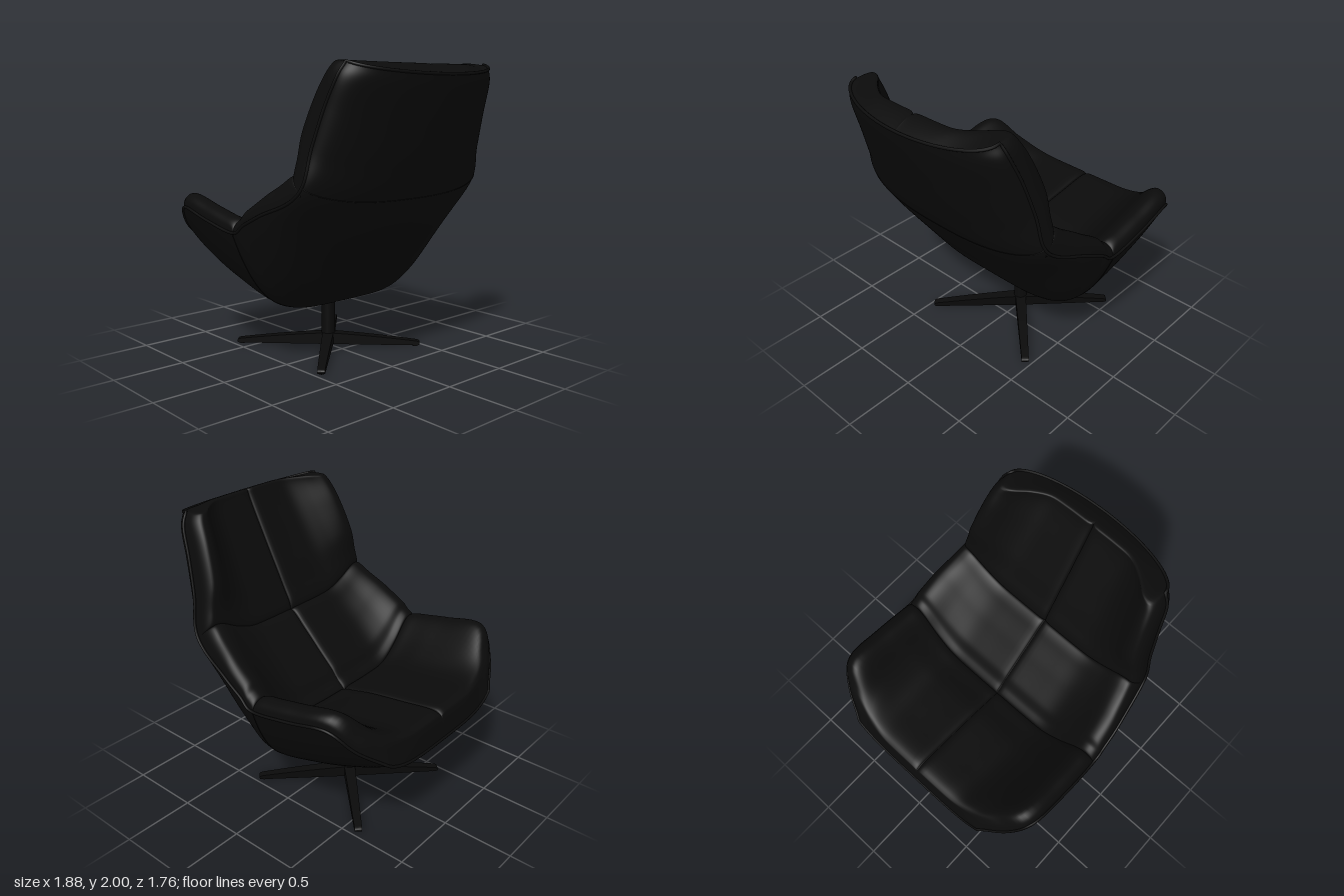
import * as THREE from 'three';

// Stations from the seat front to the top of the back:
// outer centre x,y | rim x,y | half width | inner centre x,y | outer roundness across, upwards | roll depth
const STATIONS = [
  [-0.935, 0.665, -0.90, 0.84, 0.57, -0.925, 0.83, 4.0, 1.1, 0.09],
  [-0.80, 0.60, -0.81, 0.98, 0.745, -0.84, 0.86, 4.4, 1, 0.09],
  [-0.60, 0.52, -0.68, 1.12, 0.85, -0.62, 0.83, 4.5, 1, 0.09],
  [-0.35, 0.435, -0.38, 1.07, 0.87, -0.35, 0.79, 4.5, 1, 0.09],
  [-0.04, 0.355, -0.08, 1.02, 0.868, -0.10, 0.745, 4.5, 1, 0.09],
  [0.12, 0.43, 0.02, 1.09, 0.86, 0.02, 0.855, 4.3, 1.1, 0.10],
  [0.32, 0.68, 0.17, 1.19, 0.84, 0.17, 1.00, 3.8, 1.3, 0.12],
  [0.62, 1.095, 0.37, 1.345, 0.785, 0.37, 1.21, 2.7, 1.6, 0.17],
  [0.745, 1.35, 0.405, 1.59, 0.735, 0.52, 1.48, 2.2, 1.9, 0.18],
  [0.835, 1.60, 0.485, 1.81, 0.695, 0.65, 1.73, 2.0, 2, 0.16],
  [0.905, 1.82, 0.56, 1.95, 0.66, 0.745, 1.92, 1.95, 2, 0.14],
  [0.93, 1.92, 0.61, 2.02, 0.61, 0.78, 2.015, 1.95, 2, 0.11],
];
const LAST = STATIONS.length - 1;
const SEAT_SEAM = 4, BACK_SEAM = 7;
const V = (x, y, z = 0) => new THREE.Vector3(x, y, z);
const spline = (points) => new THREE.CatmullRomCurve3(points, false, 'catmullrom', 0.5);
const outerLine = spline(STATIONS.map((s) => V(s[0], s[1], s[7])));
const rimLine = spline(STATIONS.map((s) => V(s[2], s[3], s[4])));
const innerLine = spline(STATIONS.map((s) => V(s[5], s[6], s[8])));
const rollLine = spline(STATIONS.map((s) => V(s[9], 0)));

// Half cross-section of the padding: width fraction, rise fraction, fraction of the roll depth
const PADDING = spline([
  V(0, 0, 0), V(0.05, 0, 0), V(0.3, 0.01, 0), V(0.5, 0.08, 0), V(0.67, 0.42, 0), V(0.81, 0.85, 0),
  V(0.885, 1, 0.03), V(0.945, 1, 0.1), V(0.985, 1, 0.45), V(0.995, 1, 1),
]);

function station(s) {
  const b = outerLine.getPoint(s / LAST), r = rimLine.getPoint(s / LAST), i = innerLine.getPoint(s / LAST);
  const roll = rollLine.getPoint(s / LAST).x;
  const n = b.z, w = r.z, m = i.z;
  b.z = r.z = i.z = 0;
  const up = r.clone().sub(b).normalize();
  return { b, r, i, w, n, m, up, roll };
}

// Point on the outer shell, u from -1 (right edge) to 1 (left edge)
function shellPoint(s, u) {
  const { b, r, w, n, m, up, roll } = station(s);
  const f = 1 - Math.pow(Math.max(0, 1 - Math.pow(Math.abs(u), n)), 1 / m);
  const p = b.clone().lerp(r.addScaledVector(up, -roll), f);
  p.z = w * u;
  return p;
}

const roundOff = (q) => Math.sqrt(1 - (1 - Math.min(1, Math.max(0, q))) ** 2);

// Point on the padding, sunk along the panel seams and closed at both ends
function cushionPoint(s, t) {
  const { r, w, up, i, roll } = station(s);
  const c = PADDING.getPoint(Math.abs(t));
  const z = Math.sign(t) * c.x * w;
  const seam = Math.min(Math.abs(s - SEAT_SEAM), Math.abs(s - BACK_SEAM));
  const sink = 0.03 * (1 - roundOff(seam / 0.3)) + 0.025 * (1 - roundOff(Math.abs(z) / 0.05));
  const p = i.clone().lerp(r, c.y).addScaledVector(up, -c.z * roll - sink);
  p.z = z;
  const end = roundOff(Math.min(s / 0.25, (LAST - s) / 0.45));
  return shellPoint(s, Math.sign(t) * c.x).lerp(p, end);
}

// Surface through a grid of points, a along the chair and b across it
function surface(fn, rows, cols, flip) {
  const pos = [], index = [];
  for (let i = 0; i <= rows; i++) {
    for (let j = 0; j <= cols; j++) pos.push(...fn(i / rows, (j / cols) * 2 - 1).toArray());
  }
  for (let i = 0; i < rows; i++) {
    for (let j = 0; j < cols; j++) {
      const a = i * (cols + 1) + j, b = a + 1, c = a + cols + 1, d = c + 1;
      if (flip) index.push(a, c, b, b, c, d);
      else index.push(a, b, c, b, d, c);
    }
  }
  const g = new THREE.BufferGeometry();
  g.setAttribute('position', new THREE.Float32BufferAttribute(pos, 3));
  g.setIndex(index);
  g.computeVertexNormals();
  return g;
}

export function createModel() {
  const fabric = new THREE.MeshStandardMaterial({ color: 0x0b0b0b, side: THREE.DoubleSide });
  fabric.name = 'black upholstery';
  const metal = new THREE.MeshStandardMaterial({ color: 0x0a0a0a });
  metal.name = 'black metal';

  const chair = new THREE.Group();
  chair.name = 'swivelLoungeChair';
  const add = (name, geometry, material, parent = chair) => {
    const mesh = new THREE.Mesh(geometry, material);
    mesh.name = name;
    parent.add(mesh);
    return mesh;
  };

  // Outer shell
  const across = (b) => Math.sign(b) * Math.pow(Math.sin(Math.abs(b) * Math.PI / 2), 0.8);
  add('outerShell', surface((a, b) => shellPoint(a * LAST, across(b)), 99, 64, true), fabric);

  // Three padded panels, sampled densely near their seams
  const panels = [
    ['seatCushion', 0, SEAT_SEAM], ['lowerBackCushion', SEAT_SEAM, BACK_SEAM], ['upperBackCushion', BACK_SEAM, LAST],
  ];
  for (const [name, from, to] of panels) {
    const along = (a) => from + (to - from) * (1 - Math.cos(a * Math.PI)) / 2;
    add(name, surface((a, b) => cushionPoint(along(a), b), 40, 90, false), fabric);
  }

  // Piping around the shell edge
  const edge = [];
  for (let k = 0; k < 44; k++) edge.push(shellPoint((k / 44) * LAST, 1));
  for (let k = 0; k < 24; k++) edge.push(shellPoint(LAST, across(1 - k / 12)));
  for (let k = 0; k < 44; k++) edge.push(shellPoint((1 - k / 44) * LAST, -1));
  for (let k = 0; k < 24; k++) edge.push(shellPoint(0, across(k / 12 - 1)));
  add('edgePiping', new THREE.TubeGeometry(new THREE.CatmullRomCurve3(edge, true), 300, 0.01, 8, true), fabric);

  // Stitched seams across the outer shell
  for (const [name, s] of [['seatSeam', SEAT_SEAM], ['backSeam', BACK_SEAM + 0.15]]) {
    const path = [];
    for (let k = 0; k <= 30; k++) path.push(shellPoint(s, across(k / 15 - 1)));
    add(name, new THREE.TubeGeometry(new THREE.CatmullRomCurve3(path), 90, 0.003, 6), fabric);
  }

  // Pedestal with four diagonal tapering legs
  const base = new THREE.Group();
  base.name = 'swivelBase';
  base.position.x = -0.15;
  chair.add(base);
  add('post', new THREE.CylinderGeometry(0.048, 0.048, 0.37, 32), metal, base).position.y = 0.215;
  add('mountingPlate', new THREE.CylinderGeometry(0.065, 0.055, 0.03, 32), metal, base).position.y = 0.36;

  const legShape = new THREE.Shape();
  legShape.moveTo(0, 0.012);
  legShape.lineTo(0.64, 0.008);
  legShape.quadraticCurveTo(0.66, 0.008, 0.66, 0.022);
  legShape.quadraticCurveTo(0.66, 0.036, 0.63, 0.04);
  legShape.quadraticCurveTo(0.35, 0.073, 0.05, 0.092);
  legShape.lineTo(0, 0.092);
  const legGeometry = new THREE.ExtrudeGeometry(legShape, { depth: 1, bevelEnabled: false });
  const p = legGeometry.attributes.position;
  for (let k = 0; k < p.count; k++) {
    p.setZ(k, (p.getZ(k) - 0.5) * (0.08 - 0.045 * p.getX(k)));
  }
  legGeometry.computeVertexNormals();
  for (let k = 0; k < 4; k++) {
    const leg = new THREE.Group();
    leg.name = 'baseLeg';
    leg.rotation.y = Math.PI / 4 + k * Math.PI / 2;
    base.add(leg);
    add('legArm', legGeometry, metal, leg);
    add('footGlide', new THREE.CylinderGeometry(0.018, 0.018, 0.012, 16), metal, leg).position.set(0.625, 0.006, 0);
  }
  return chair;
}
